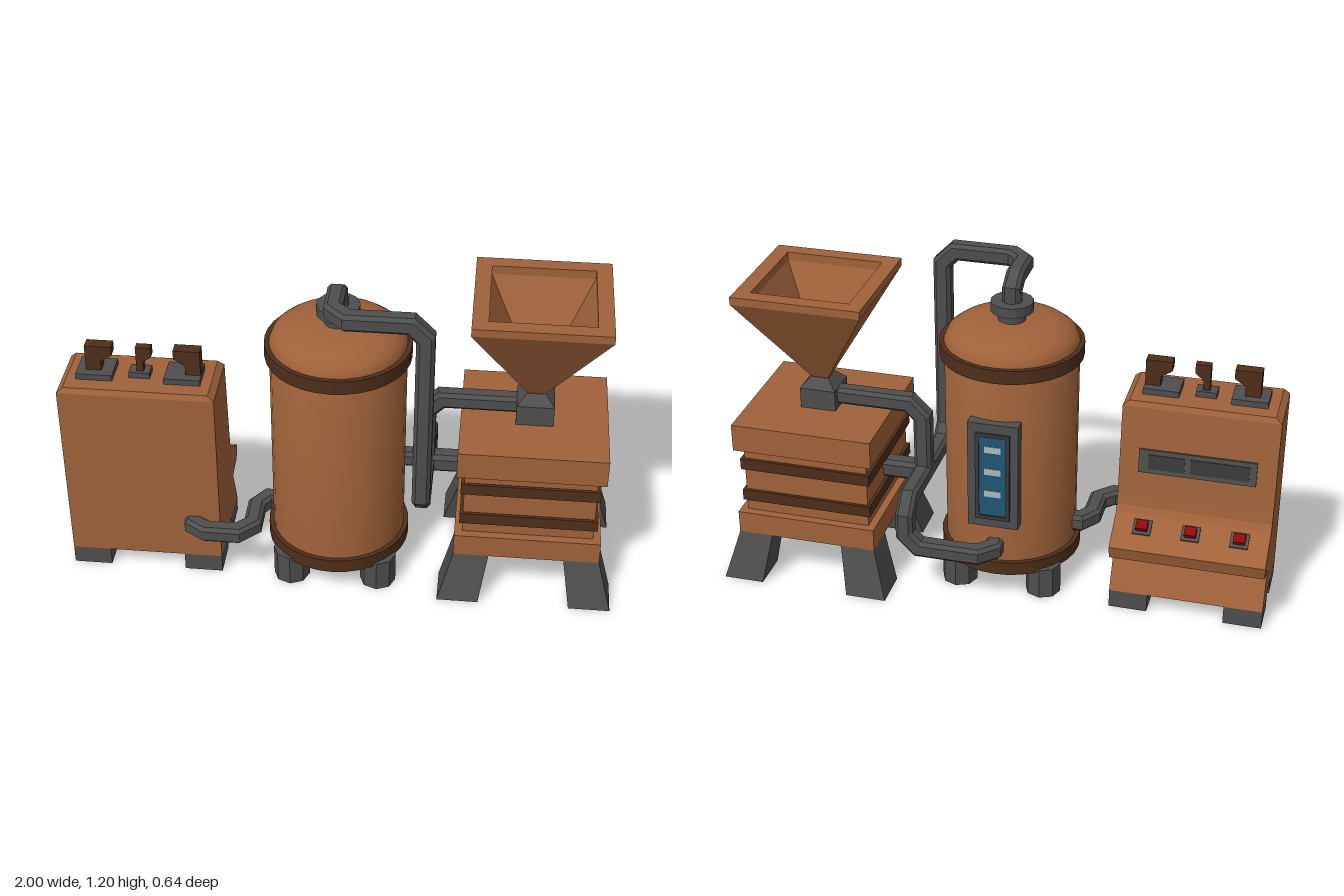
import * as THREE from 'three';
import { toCreasedNormals } from 'three/addons/utils/BufferGeometryUtils.js';

const mat = (color, side = THREE.FrontSide) =>
  new THREE.MeshStandardMaterial({ color, flatShading: true, side });
const copper = mat(0xa0623a), dark = mat(0x4e2e1a), iron = mat(0x4e4e4e), steel = mat(0x3a3a3a);
const red = mat(0x8c0808), blue = mat(0x1f5674), pale = mat(0xa9bcc4);
const smoothCopper = new THREE.MeshStandardMaterial({ color: 0xa0623a });
const smoothDark = new THREE.MeshStandardMaterial({ color: 0x4e2e1a });

function add(parent, name, geometry, material, x = 0, y = 0, z = 0) {
  const mesh = new THREE.Mesh(geometry, material);
  mesh.name = name;
  mesh.position.set(x, y, z);
  parent.add(mesh);
  return mesh;
}

function group(parent, name, x = 0, y = 0, z = 0) {
  const g = new THREE.Group();
  g.name = name;
  g.position.set(x, y, z);
  parent.add(g);
  return g;
}

const box = (w, h, d) => new THREE.BoxGeometry(w, h, d);
const lathe = (pts, n, start = 0) =>
  new THREE.LatheGeometry(pts.map(p => new THREE.Vector2(...p)), n, start);
const round = (pts, n = 32) => toCreasedNormals(lathe(pts, n), 0.6);
// square stack of [half width, y] levels
const square = pts => lathe(pts.map(([r, y]) => [r * Math.SQRT2, y]), 4, Math.PI / 4);
const extrude = (pts, depth) => new THREE.ExtrudeGeometry(
  new THREE.Shape(pts.map(p => new THREE.Vector2(...p))), { depth, bevelEnabled: false });

// Chamfered square duct swept along a polyline, with cut corners and mitred joints
function duct(points, r = 0.032, cut = 0.05) {
  const raw = points.map(p => new THREE.Vector3(...p));
  const path = [raw[0]];
  for (let i = 1; i < raw.length - 1; i++) {
    for (const q of [raw[i - 1], raw[i + 1]]) {
      const step = q.clone().sub(raw[i]);
      path.push(raw[i].clone().addScaledVector(step.clone().normalize(), Math.min(cut, step.length() * 0.45)));
    }
  }
  path.push(raw[raw.length - 1]);
  const dirs = path.slice(1).map((p, i) => p.clone().sub(path[i]).normalize());
  const u = Math.abs(dirs[0].y) > 0.9 ? new THREE.Vector3(1, 0, 0) : new THREE.Vector3(0, 1, 0);
  const v = dirs[0].clone().cross(u);
  const k = 0.6;
  let ring = [[1, -k], [1, k], [k, 1], [-k, 1], [-1, k], [-1, -k], [-k, -1], [k, -1]].map(([a, b]) =>
    path[0].clone().addScaledVector(u, a * r).addScaledVector(v, b * r));
  const pos = [];
  dirs.forEach((d, i) => {
    const n = d.clone().add(dirs[i + 1] ?? d).normalize();
    const next = ring.map(p => p.clone().addScaledVector(d, path[i + 1].clone().sub(p).dot(n) / d.dot(n)));
    ring.forEach((a, j) => {
      const m = (j + 1) % 8;
      for (const q of [a, ring[m], next[m], a, next[m], next[j]]) pos.push(q.x, q.y, q.z);
    });
    ring = next;
  });
  const g = new THREE.BufferGeometry();
  g.setAttribute('position', new THREE.Float32BufferAttribute(pos, 3));
  g.computeVertexNormals();
  return g;
}

// Splayed leg in the corner given by the signs sx, sz
function splayedLeg(sx, sz) {
  const g = box(1, 1, 1), p = g.attributes.position;
  for (let i = 0; i < p.count; i++) {
    const top = p.getY(i) > 0;
    const reach = outer => (outer ? (top ? 0.263 : 0.315) : (top ? 0.135 : 0.165));
    p.setXYZ(i, sx * reach(p.getX(i) * sx > 0), top ? 0.18 : 0, sz * reach(p.getZ(i) * sz > 0));
  }
  return g;
}

function controlPanel(root) {
  const g = group(root, 'controlPanel', -0.72);
  // cabinet side profile as [z, y], with the desk at the back
  const profile = [[0.23, 0.07], [0.23, 0.77], [-0.01, 0.77], [-0.04, 0.43], [-0.047, 0.385], [-0.06, 0.362],
    [-0.085, 0.345], [-0.16, 0.298], [-0.182, 0.282], [-0.168, 0.232], [-0.075, 0.215], [-0.14, 0.07]];
  const body = add(g, 'cabinet', extrude(profile, 0.56), copper, 0.28);
  body.geometry.rotateY(-Math.PI / 2);
  const lid = add(g, 'cabinetLid', square([[0, 0], [0.5, 0], [0.46, 0.02], [0, 0.02]]), copper, 0, 0.77, 0.11);
  lid.scale.set(0.56, 1, 0.24);
  for (const x of [-0.21, 0.21]) for (const z of [-0.07, 0.16])
    add(g, 'cabinetFoot', box(0.14, 0.07, 0.14), iron, x, 0.035, z);

  // levers: x, base width, base depth, hook start, stem, reach, thickness
  [[-0.157, 0.13, 0.11, -0.19, 0.055, 0.095, 0.045], [0, 0.075, 0.055, -0.01, 0.025, 0.055, 0.03],
    [0.157, 0.13, 0.11, 0.22, -0.055, -0.095, 0.045]].forEach(([x, w, d, x0, s, e, t]) => {
    add(g, 'leverBase', box(w, 0.025, d), iron, x, 0.8, 0.11);
    const hook = [[0, 0], [s, 0], [s, 0.045], [e, 0.07], [e, 0.105], [0, 0.105]];
    add(g, 'lever', extrude(hook, t), dark, x0, 0.805, 0.11 - t / 2);
  });

  // display on the upright face
  const display = group(g, 'display', 0, 0.57, -0.028);
  display.rotation.set(-0.09, Math.PI, 0, 'YXZ');
  add(display, 'displayPlate', box(0.42, 0.09, 0.016), iron);
  for (const [x, w] of [[-0.11, 0.13], [0.08, 0.21]])
    add(display, 'displayWindow', box(w, 0.055, 0.008), steel, x, 0, 0.007);

  // push buttons on the sloping desk
  for (const x of [-0.175, 0, 0.175]) {
    const button = group(g, 'button', x, 0.334, -0.102);
    button.rotation.set(-1.01, Math.PI, 0, 'YXZ');
    add(button, 'buttonPlate', box(0.066, 0.06, 0.014), iron);
    add(button, 'buttonCap', box(0.042, 0.036, 0.03), red, 0, 0, 0.012);
  }
}

function boiler(root) {
  const g = group(root, 'boiler', -0.02, 0, 0.06);
  add(g, 'tank', round([[0, 0.11], [0.243, 0.11], [0.243, 0.95], [0.23, 0.98], [0.2, 1.003],
    [0.15, 1.018], [0.08, 1.024], [0, 1.025]]), smoothCopper);
  for (const y of [0.108, 0.896])
    add(g, 'tankBand', round([[0.235, y], [0.26, y], [0.26, y + 0.052], [0.235, y + 0.052]]), smoothDark);
  add(g, 'neck', lathe([[0.05, 1.015], [0.05, 1.06], [0.077, 1.06], [0.077, 1.096], [0.036, 1.096], [0.036, 1.13]], 16), iron);
  for (const x of [-0.16, 0.16]) for (const z of [-0.15, 0.15])
    add(g, 'tankFoot', new THREE.CylinderGeometry(0.066, 0.066, 0.12, 8), iron, x, 0.06, z);

  // level gauge on the back
  const gauge = group(g, 'gauge', 0, 0.53, -0.25);
  add(gauge, 'gaugePlate', box(0.185, 0.42, 0.045), iron);
  add(gauge, 'gaugeGlass', box(0.1, 0.32, 0.01), blue, 0, 0, -0.021);
  for (const x of [-0.056, 0.056]) add(gauge, 'gaugeRim', box(0.014, 0.35, 0.014), steel, x, 0, -0.024);
  for (const y of [-0.168, 0.168]) add(gauge, 'gaugeRim', box(0.126, 0.014, 0.014), steel, 0, y, -0.024);
  for (const y of [-0.07, 0.02, 0.11]) add(gauge, 'gaugeMark', box(0.06, 0.025, 0.012), pale, 0, y, -0.022);
}

function mashTun(root) {
  const g = group(root, 'mashTun', 0.68, 0, -0.006);
  add(g, 'tunBody', box(0.47, 0.4, 0.464), copper, 0, 0.4, 0);
  add(g, 'bottomSlab', box(0.526, 0.086, 0.526), copper, 0, 0.222, 0);
  add(g, 'topSlab', box(0.526, 0.104, 0.526), copper, 0, 0.58, 0);
  for (const y of [0.331, 0.462]) add(g, 'tunBand', box(0.494, 0.043, 0.488), dark, 0, y, 0);
  for (const sx of [-1, 1]) for (const sz of [-1, 1]) add(g, 'tunLeg', splayedLeg(sx, sz), iron);
  add(g, 'hopperBase', square([[0.067, 0.63], [0.067, 0.71], [0.034, 0.747], [0, 0.747]]), iron);
  // outside, rim and inside of the funnel
  add(g, 'hopper', square([[0.028, 0.74], [0.238, 1.103], [0.238, 1.132], [0.182, 1.132],
    [0.182, 1.1], [0.034, 0.82], [0, 0.82]]), copper);
}

function pipes(root) {
  const g = group(root, 'pipes');
  const px = 0.295, mz = -0.015;
  add(g, 'steamPipe', duct([[-0.02, 1.1, 0.06], [-0.02, 1.168, 0.06], [-0.02, 1.168, 0.273],
    [px, 1.168, 0.273], [px, 0.398, 0.273], [px, 0.398, mz]]), iron);
  add(g, 'returnPipe', duct([[px, 0.398, mz], [px, 0.398, -0.258], [px, 0.222, -0.258],
    [-0.02, 0.222, -0.258], [-0.02, 0.222, -0.15]]), iron);
  add(g, 'hopperPipe', duct([[0.64, 0.678, mz], [px, 0.678, mz], [px, 0.39, mz]]), iron);
  add(g, 'mashInlet', duct([[px, 0.398, mz], [0.46, 0.398, mz]], 0.036), iron);
  add(g, 'panelPipe', duct([[-0.535, 0.222, 0.2], [-0.535, 0.222, 0.27], [-0.32, 0.222, 0.27],
    [-0.32, 0.222, 0.06], [-0.24, 0.222, 0.06]]), iron);
}

export function createModel() {
  const root = new THREE.Group();
  root.name = 'brewery';
  controlPanel(root);
  boiler(root);
  mashTun(root);
  pipes(root);
  return root;
}
